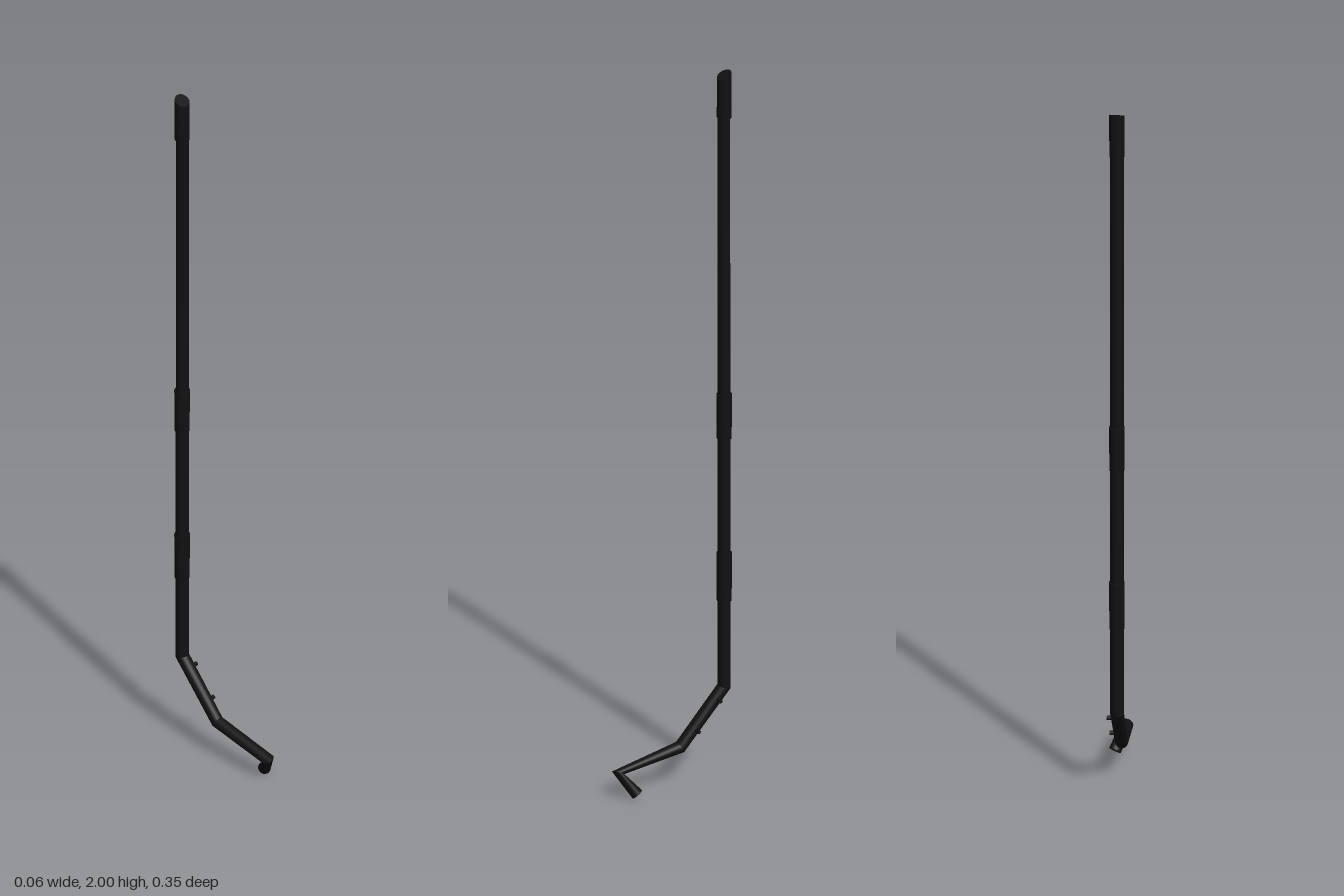
import * as THREE from 'three';

const material = new THREE.MeshStandardMaterial({ color: 0x111111, side: THREE.DoubleSide });
const SIDES = 24;

// Capped round bar: one ring per station, each tilted to its given normal
function ringBar(stations) {
  const pos = [], idx = [];
  const rings = stations.map(({ p, n, r }) => {
    const u = new THREE.Vector3(1, 0, 0).addScaledVector(n, -n.x).normalize();
    const v = new THREE.Vector3().crossVectors(n, u);
    return Array.from({ length: SIDES }, (_, i) => {
      const a = (i / SIDES) * Math.PI * 2;
      return p.clone().addScaledVector(u, r * Math.cos(a)).addScaledVector(v, r * Math.sin(a));
    });
  });
  const add = (ring) => {
    const start = pos.length / 3;
    ring.forEach((q) => pos.push(q.x, q.y, q.z));
    return start;
  };
  // walls, each segment with its own rings so the bends stay crisp
  for (let s = 0; s < rings.length - 1; s++) {
    const a = add(rings[s]), b = add(rings[s + 1]);
    for (let i = 0; i < SIDES; i++) {
      const j = (i + 1) % SIDES;
      idx.push(a + i, a + j, b + i, a + j, b + j, b + i);
    }
  }
  // end caps
  const first = add(rings[0]), last = add(rings[rings.length - 1]);
  for (let i = 1; i < SIDES - 1; i++) {
    idx.push(first, first + i + 1, first + i, last, last + i, last + i + 1);
  }
  const g = new THREE.BufferGeometry();
  g.setAttribute('position', new THREE.Float32BufferAttribute(pos, 3));
  g.setIndex(idx);
  g.computeVertexNormals();
  return g;
}

export function createModel() {
  const group = new THREE.Group();
  const part = (name, geometry) => {
    const mesh = new THREE.Mesh(geometry, material);
    mesh.name = name;
    group.add(mesh);
    return mesh;
  };

  // Bent rod, from the slanted top end to the hooked tip
  const path = [
    [-0.011, 1.99, -0.153], [-0.011, 0.256, -0.153], [-0.014, 0.108, -0.026],
    [-0.015, 0.071, 0.156], [0.014, 0.013, 0.115],
  ].map((a) => new THREE.Vector3(...a));
  const radii = [0.018, 0.018, 0.017, 0.0165, 0.0165];
  const dirs = path.slice(1).map((p, i) => p.clone().sub(path[i]).normalize());
  part('rod', ringBar(path.map((p, i) => {
    const n = new THREE.Vector3();
    if (i > 0) n.add(dirs[i - 1]);
    if (i < dirs.length) n.add(dirs[i]);
    if (i === 0) n.set(0, -1, -0.5);
    return { p, n: n.normalize(), r: radii[i] };
  })));

  // Slightly thicker sleeves along the straight shaft
  const down = new THREE.Vector3(0, -1, 0);
  const slant = new THREE.Vector3(0, -1, -0.5).normalize();
  [[1.99, 1.87, slant], [1.085, 0.96, down], [0.635, 0.5, down]].forEach(([top, bottom, n], i) => {
    part(`sleeve${i + 1}`, ringBar([
      { p: new THREE.Vector3(-0.011, top, -0.154), n, r: 0.0205 },
      { p: new THREE.Vector3(-0.011, bottom, -0.154), n: down, r: 0.0195 },
    ]));
  });

  // Small pegs on the left of the sloping part
  [[0.008, 0.228, -0.129], [0.006, 0.153, -0.066]].forEach((p, i) => {
    const peg = part(`peg${i + 1}`, new THREE.CylinderGeometry(0.006, 0.006, 0.018, 12));
    peg.rotation.z = Math.PI / 2;
    peg.position.set(...p);
  });

  return group;
}
